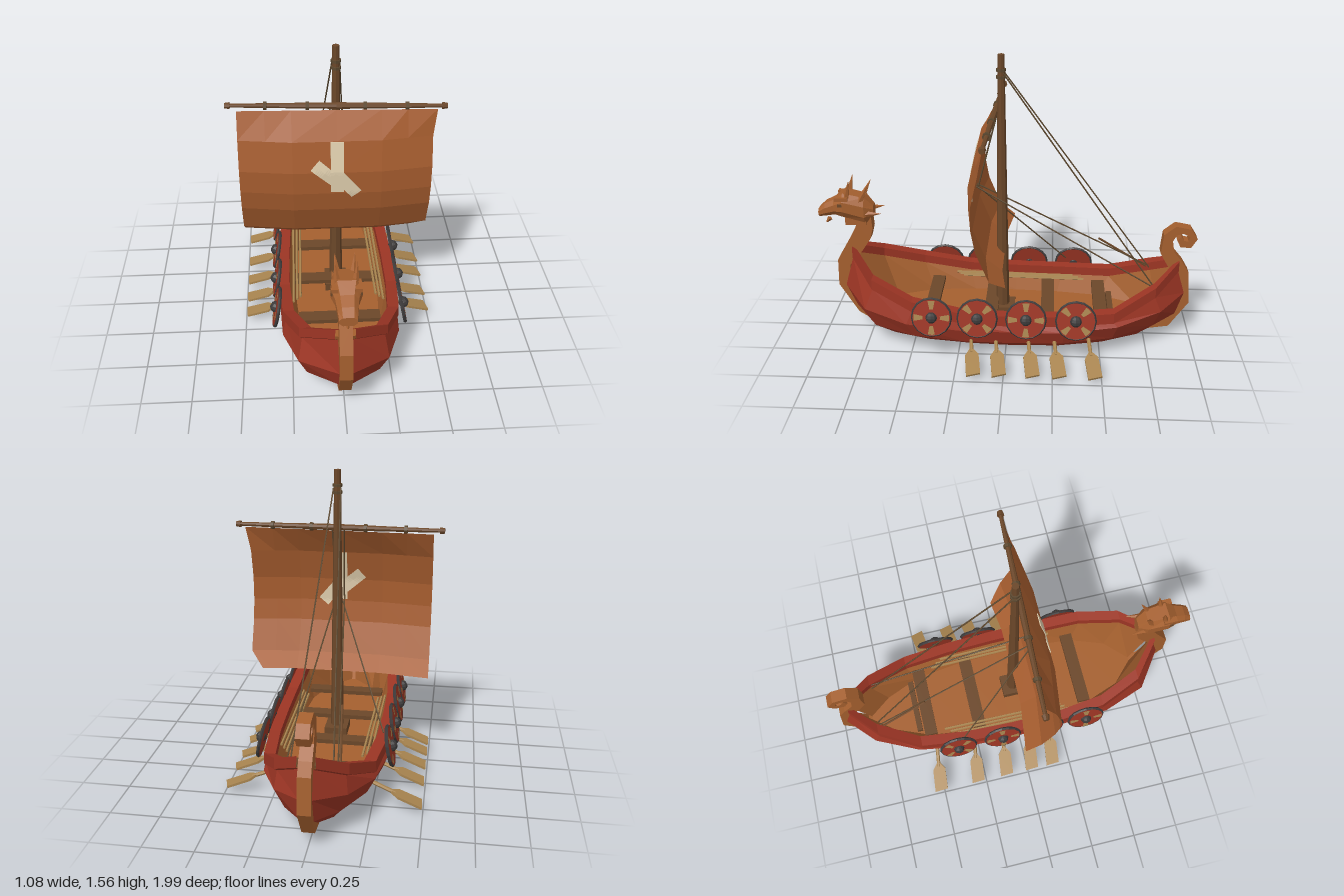
import * as THREE from 'three';

const paint = (name, color, side = THREE.FrontSide) => {
  const m = new THREE.MeshStandardMaterial({ color, side });
  m.name = name;
  return m;
};

export function createModel() {
  const root = new THREE.Group();
  root.name = 'longship';
  const red = paint('red paint', 0x9c3524);
  const wood = paint('warm wood', 0xa5602f, THREE.DoubleSide);
  const cloth = paint('sail cloth', 0xa55c2e, THREE.DoubleSide);
  const dark = paint('dark wood', 0x6b4729);
  const tan = paint('pale wood', 0xa8844f, THREE.DoubleSide);
  const cream = paint('cream emblem', 0xdccbab);
  const iron = paint('iron', 0x3d3b3b);
  const rope = paint('rope', 0x5c482f);

  // flat shaded mesh
  const add = (name, geo, mat, parent = root) => {
    const g = geo.index ? geo.toNonIndexed() : geo;
    g.computeVertexNormals();
    const m = new THREE.Mesh(g, mat);
    m.name = name;
    parent.add(m);
    return m;
  };
  const box = (name, w, h, d, x, y, z, mat) => add(name, new THREE.BoxGeometry(w, h, d).translate(x, y, z), mat);
  // tapered round bar between two points
  const bar = (name, a, b, r0, r1, mat, sides = 8, parent = root) => {
    const p = new THREE.Vector3(...a), q = new THREE.Vector3(...b), d = q.clone().sub(p);
    const m = add(name, new THREE.CylinderGeometry(r1, r0, d.length(), sides), mat, parent);
    m.position.copy(p).add(q).multiplyScalar(0.5);
    m.quaternion.setFromUnitVectors(new THREE.Vector3(0, 1, 0), d.normalize());
    return m;
  };
  // skin across rows of points
  const loft = (name, rows, mat) => {
    const n = rows[0].length, idx = [];
    for (let i = 0; i < rows.length - 1; i++) {
      for (let j = 0; j < n - 1; j++) {
        const a = i * n + j, c = a + n;
        idx.push(a, a + 1, c, a + 1, c + 1, c);
      }
    }
    const g = new THREE.BufferGeometry();
    g.setAttribute('position', new THREE.Float32BufferAttribute(rows.flat(2), 3));
    g.setIndex(idx);
    return add(name, g, mat);
  };
  // side outline in (z, y), extruded across x
  const profile = (name, pts, width, mat) => {
    const s = new THREE.Shape(pts.map(p => new THREE.Vector2(...p)));
    const g = new THREE.ExtrudeGeometry(s, { depth: width, bevelEnabled: false });
    return add(name, g.rotateY(-Math.PI / 2).translate(width / 2, 0, 0), mat);
  };

  // Hull: lengthwise lines, stern to bow
  const f = [-1, -0.85, -0.6, -0.3, 0, 0.3, 0.6, 0.85, 1];
  const line = (z0, z1, w, y) => f.map((u, i) => [w[i], y[i], z0 + (z1 - z0) * (u + 1) / 2]);
  const top = line(-0.91, 0.83, [0.03, 0.16, 0.26, 0.29, 0.3, 0.3, 0.28, 0.2, 0.035],
    [0.46, 0.37, 0.27, 0.26, 0.26, 0.27, 0.32, 0.4, 0.5]);
  const side = line(-0.95, 0.88, [0.03, 0.17, 0.27, 0.31, 0.315, 0.31, 0.295, 0.22, 0.03],
    [0.28, 0.24, 0.2, 0.18, 0.18, 0.18, 0.2, 0.24, 0.28]);
  const bilge = line(-0.91, 0.83, [0.03, 0.13, 0.23, 0.28, 0.29, 0.285, 0.26, 0.18, 0.03],
    [0.15, 0.13, 0.11, 0.1, 0.1, 0.1, 0.11, 0.12, 0.16]);
  const bottom = line(-0.82, 0.72, [0.02, 0.09, 0.16, 0.2, 0.21, 0.2, 0.18, 0.13, 0.02],
    [0.08, 0.05, 0.04, 0.035, 0.035, 0.035, 0.04, 0.045, 0.06]);
  const floor = line(-0.82, 0.74, [0.01, 0.1, 0.18, 0.21, 0.22, 0.22, 0.2, 0.13, 0.01], Array(9).fill(0.13));
  const shift = (row, dx, dy) => row.map(([x, y, z]) => [Math.max(x + dx, 0.004), y + dy, z]);
  const flip = row => row.map(([x, y, z]) => [-x, y, z]);
  const railIn = shift(top, -0.045, -0.035);
  const half = [railIn, shift(top, -0.045, 0.012), shift(top, 0.012, 0.012), shift(top, 0.014, -0.045),
    shift(top, 0, -0.05), side, bilge, bottom];
  loft('hull', [...half, ...half.map(flip).reverse()], red);
  loft('innerHull', [flip(railIn), flip(floor), floor, railIn], wood);

  // Keel, neck and curled stern post in one outline
  profile('keelAndPosts', [[0.92, 0.28], [0.915, 0.43], [0.84, 0.56], [0.8, 0.64], [0.8, 0.7], [0.72, 0.7],
    [0.715, 0.62], [0.73, 0.56], [0.79, 0.47], [0.85, 0.4], [0.86, 0.28], [0.8, 0.15], [0.67, 0.06], [0, 0.04],
    [-0.5, 0.045], [-0.84, 0.12], [-0.92, 0.24], [-0.9, 0.38], [-0.85, 0.44], [-0.81, 0.51], [-0.82, 0.62],
    [-0.88, 0.67], [-0.96, 0.655], [-0.995, 0.6], [-0.965, 0.55], [-0.91, 0.55], [-0.89, 0.59], [-0.91, 0.615],
    [-0.925, 0.59], [-0.95, 0.585], [-0.955, 0.612], [-0.92, 0.63], [-0.885, 0.62], [-0.868, 0.585], [-0.88, 0.52],
    [-0.93, 0.46], [-0.965, 0.4], [-0.98, 0.22], [-0.88, 0.07], [-0.5, 0.008], [0, 0], [0.69, 0.025], [0.82, 0.11]],
  0.062, wood);

  // Dragon head: eight-sided sections [z, bottom, top, half width]
  const sections = [[0.705, 0.69, 0.75, 0.03], [0.75, 0.65, 0.8, 0.06], [0.86, 0.69, 0.825, 0.07],
    [0.91, 0.7, 0.785, 0.052], [0.96, 0.69, 0.76, 0.045], [0.995, 0.685, 0.73, 0.04]];
  const rings = sections.map(([z, b, t, w]) => {
    const k = (t - b) * 0.3;
    const r = [[w, b + k], [w, t - k], [w * 0.6, t], [-w * 0.6, t], [-w, t - k], [-w, b + k], [-w * 0.6, b], [w * 0.6, b]];
    return [...r, r[0]].map(([x, y]) => [x, y, z]);
  });
  const cap = z => Array.from({ length: 9 }, () => [0, 0.71, z]);
  loft('dragonHead', [cap(0.705), ...rings, cap(0.995)], wood);
  box('jaw', 0.085, 0.04, 0.11, 0, 0.665, 0.8, wood);
  bar('beard', [0, 0.665, 0.945], [0, 0.64, 0.965], 0.014, 0.004, wood, 4);
  for (const s of [-1, 1]) {
    bar('horn', [s * 0.04, 0.8, 0.84], [s * 0.05, 0.895, 0.82], 0.018, 0.001, wood, 5);
    bar('crest', [s * 0.035, 0.78, 0.77], [s * 0.045, 0.87, 0.725], 0.018, 0.001, wood, 5);
    bar('cheekSpike', [s * 0.04, 0.71, 0.74], [s * 0.055, 0.72, 0.66], 0.018, 0.001, wood, 5);
    box('brow', 0.03, 0.02, 0.07, s * 0.052, 0.798, 0.865, wood);
    box('eye', 0.008, 0.016, 0.022, s * 0.066, 0.765, 0.872, dark);
  }

  // Benches, mast step and stowed poles
  for (const [z, w] of [[-0.5, 0.4], [-0.22, 0.44], [0.08, 0.46], [0.4, 0.42]]) {
    box('bench', w, 0.022, 0.07, 0, 0.205, z, dark);
  }
  box('sternStep', 0.3, 0.03, 0.03, 0, 0.16, -0.56, dark);
  box('mastStep', 0.12, 0.05, 0.14, 0, 0.15, 0.03, dark);
  for (const s of [-1, 1]) {
    for (let i = 0; i < 3; i++) {
      bar('stowedPole', [s * (0.19 + i * 0.02), 0.225, -0.42 + i * 0.03], [s * (0.2 + i * 0.018), 0.23, 0.26 + i * 0.02], 0.007, 0.007, tan, 5);
    }
  }

  // Mast and yard
  bar('mast', [0, 0.13, 0.025], [0, 1.56, 0.032], 0.036, 0.017, dark);
  for (const y of [1.44, 1.475]) bar('mastBand', [0, y, 0.032], [0, y + 0.014, 0.032], 0.025, 0.025, rope);
  const yardAt = x => [x, 1.26 - x * 0.008, 0.066 + x * 0.04];
  for (const s of [-1, 1]) {
    bar('yard', yardAt(0), yardAt(s * 0.53), 0.017, 0.01, dark);
    bar('yardKnob', yardAt(s * 0.515), yardAt(s * 0.54), 0.018, 0.014, dark);
    for (const x of [0.14, 0.345]) bar('yardBand', yardAt(s * x - 0.008), yardAt(s * x + 0.008), 0.021, 0.021, rope);
  }

  // Billowing sail
  const rowsY = [1.24, 1.107, 0.95, 0.83, 0.72, 0.56, 0.49];
  const rowsZ = [0.075, 0.15, 0.185, 0.185, 0.165, 0.1, 0.015];
  const sailZ = (x, y) => {
    let i = 0;
    while (i < 5 && y < rowsY[i + 1]) i++;
    const t = (rowsY[i] - y) / (rowsY[i] - rowsY[i + 1]);
    const belly = i === 0 ? t : 1;
    const edge = Math.max(0, Math.abs(x) - 0.22) / 0.26;
    return THREE.MathUtils.lerp(rowsZ[i], rowsZ[i + 1], t) - 0.035 * edge * belly + x * 0.03 * (1 - belly);
  };
  const cols = [-0.485, -0.35, -0.22, 0, 0.22, 0.35, 0.475];
  loft('sail', rowsY.map((y, i) => cols.map((c, j) => {
    const x = j < 6 ? c : i === 0 ? 0.495 : i === 6 ? 0.4 : c;
    return [x, y, sailZ(x, y)];
  })), cloth);

  // Emblem strokes: thin strips following the cloth
  const stroke = (x0, y0, x1, y1, w) => {
    const len = Math.hypot(x1 - x0, y1 - y0);
    const g = new THREE.BoxGeometry(w, len, 0.009, 2, 14, 1);
    g.rotateZ(Math.atan2(y1 - y0, x1 - x0) - Math.PI / 2).translate((x0 + x1) / 2, (y0 + y1) / 2, 0);
    const p = g.attributes.position;
    for (let i = 0; i < p.count; i++) p.setZ(i, p.getZ(i) + sailZ(p.getX(i), p.getY(i)));
    add('sailEmblem', g, cream);
  };
  stroke(0, 1.105, 0, 0.84, 0.065);
  stroke(-0.11, 0.99, 0, 0.895, 0.065);
  stroke(0.0, 0.94, 0.095, 0.825, 0.062);

  // Rigging
  const sheet = [0, 0.87, 0.16];
  for (const s of [-1, 1]) {
    bar('backstay', [s * 0.018, 1.47, 0.02], [s * 0.1, 0.36, -0.77], 0.004, 0.004, rope, 5);
    bar('sheetRope', [s * 0.02, 0.87, 0.16], [s * 0.12, 0.36, -0.77], 0.004, 0.004, rope, 5);
    bar('yardRope', [s * 0.03, 1.25, 0.055], [s * 0.02, 0.87, 0.15], 0.004, 0.004, rope, 5);
  }
  bar('sideRope', sheet, [-0.285, 0.31, -0.32], 0.004, 0.004, rope, 5);
  bar('tiller', [-0.1, 0.53, -0.49], [-0.13, 0.35, -0.76], 0.006, 0.006, dark, 5);

  // Shields along both rails
  for (const s of [-1, 1]) {
    [0.375, 0.14, -0.11, -0.365].forEach((z, i) => {
      const g = new THREE.Group();
      g.name = 'shield';
      g.position.set(s * 0.322, 0.265, z);
      g.rotation.set(-0.2, s * Math.PI / 2, 0, 'YXZ');
      root.add(g);
      add('shieldBoard', new THREE.CylinderGeometry(0.098, 0.098, 0.016, 16).rotateX(Math.PI / 2), red, g);
      add('shieldRim', new THREE.TorusGeometry(0.098, 0.009, 5, 16), iron, g);
      add('shieldBoss', new THREE.SphereGeometry(0.03, 8, 6).scale(1, 1, 0.9).translate(0, 0, 0.01), iron, g);
      for (let k = 0; k < 4; k++) {
        const a = k * Math.PI / 2 + (i % 2) * Math.PI / 4 - 0.2;
        add('shieldPatch', new THREE.RingGeometry(0.045, 0.092, 3, 1, a, 0.4).translate(0, 0, 0.0105), tan, g);
      }
    });
  }

  // Oars: shaft and flared blade, dipping outward
  const bladeShape = new THREE.Shape([[0, -0.01], [0.03, -0.036], [0.15, -0.042], [0.165, 0.03], [0.04, 0.034], [0, 0.01]]
    .map(p => new THREE.Vector2(...p)));
  for (const s of [-1, 1]) {
    const zs = s > 0 ? [0.17, 0.04, -0.13, -0.265, -0.445] : [0.165, 0.04, -0.11, -0.28, -0.5];
    for (const z of zs) {
      const oar = new THREE.Group();
      oar.name = 'oar';
      oar.position.set(s * 0.345, 0.09, z);
      oar.rotation.set(0, s > 0 ? 0.1 : Math.PI - 0.15, -0.34, 'YXZ');
      root.add(oar);
      const blade = new THREE.ExtrudeGeometry(bladeShape, { depth: 0.012, bevelEnabled: false });
      add('oarBlade', blade.rotateX(Math.PI / 2).translate(0, 0.006, 0), tan, oar);
      bar('oarShaft', [-0.12, 0, 0], [0.02, 0, 0], 0.01, 0.01, tan, 6, oar);
    }
  }
  return root;
}
